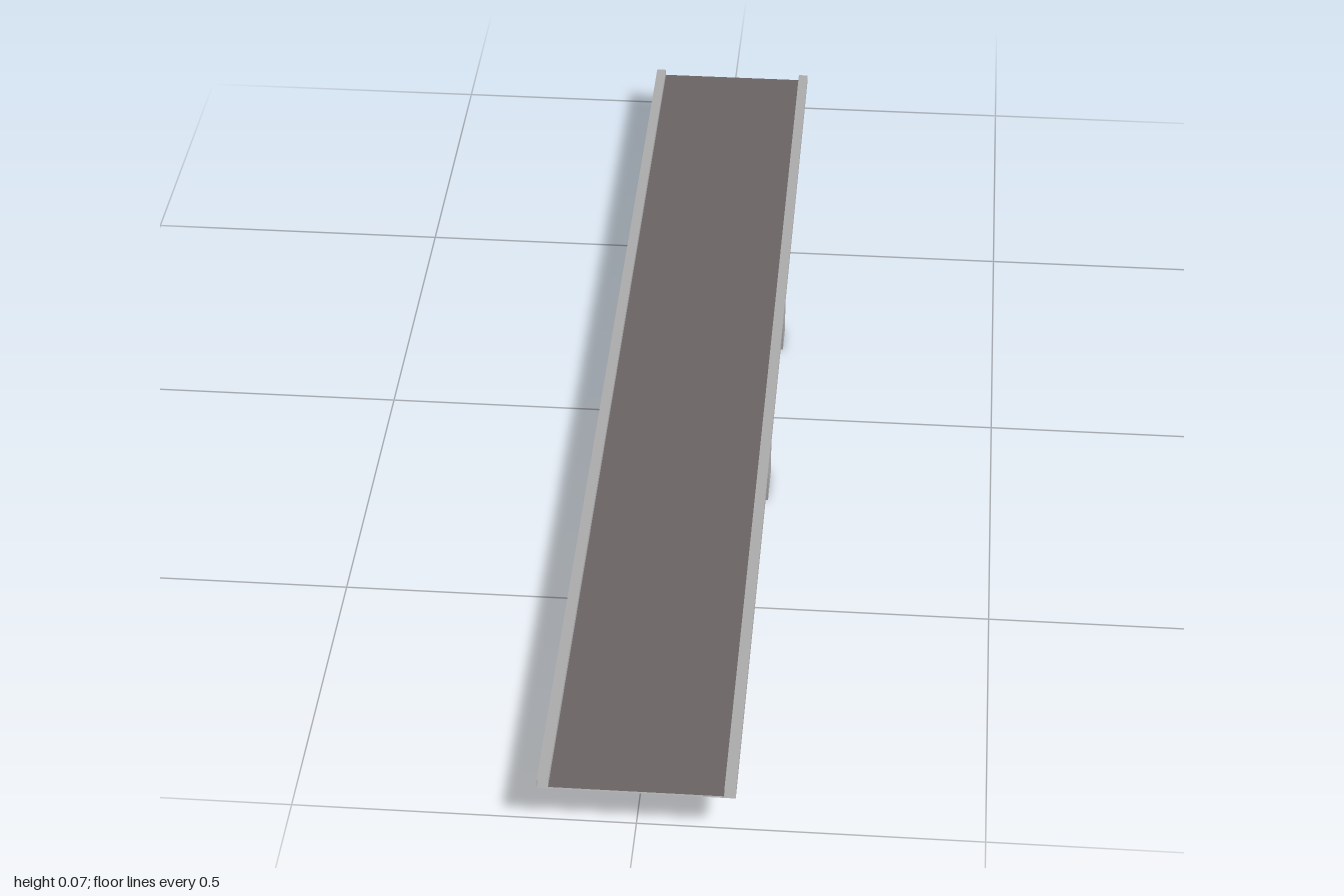
import * as THREE from 'three';

const LENGTH = 2, HALF = 0.1425, CURB = 0.0165;
const BASE_Y = 0.058, ROAD_Y = 0.061, TOP_Y = 0.072;

export function createModel() {
  const group = new THREE.Group();
  const material = (name, color) =>
    new THREE.MeshStandardMaterial({ name, color, side: THREE.DoubleSide });
  const concrete = material('concrete', 0xaaaaaa);
  const asphalt = material('asphalt', 0x696362);

  const add = (name, geometry, mat, x, y, z) => {
    const mesh = new THREE.Mesh(geometry, mat);
    mesh.name = name;
    mesh.position.set(x, y, z);
    group.add(mesh);
  };

  // Full-length flat sheets, turned to face up, down or sideways
  const level = (width, up) =>
    new THREE.PlaneGeometry(width, LENGTH).rotateX(up ? -Math.PI / 2 : Math.PI / 2);
  const upright = (height, side) =>
    new THREE.PlaneGeometry(LENGTH, height).rotateY(side * Math.PI / 2);

  // Four walls of a box, without its top and bottom
  const walls = (width, height, depth) => {
    const box = new THREE.BoxGeometry(width, height, depth);
    const index = Array.from(box.index.array);
    index.splice(12, 12);
    box.setIndex(index);
    box.clearGroups();
    return box;
  };

  // Deck: road surface above, concrete underside, open at both ends
  add('roadSurface', level(2 * (HALF - CURB), true), asphalt, 0, ROAD_Y, 0);
  add('deckUnderside', level(2 * HALF, false), concrete, 0, BASE_Y, 0);

  // Raised curbs along both edges
  for (const side of [-1, 1]) {
    const name = side > 0 ? 'left' : 'right';
    add(name + 'CurbTop', level(CURB, true), concrete, side * (HALF - CURB / 2), TOP_Y, 0);
    add(name + 'CurbOuterFace', upright(TOP_Y - BASE_Y, side), concrete,
      side * HALF, (TOP_Y + BASE_Y) / 2, 0);
    add(name + 'CurbInnerFace', upright(TOP_Y - ROAD_Y, -side), concrete,
      side * (HALF - CURB), (TOP_Y + ROAD_Y) / 2, 0);
  }

  // Hollow cross beams under the deck, open at the bottom
  for (const [name, z, depth] of [['frontSupport', 0.187, 0.077], ['backSupport', -0.229, 0.06]]) {
    add(name, walls(2 * HALF, BASE_Y, depth), concrete, 0, BASE_Y / 2, z);
  }
  return group;
}
